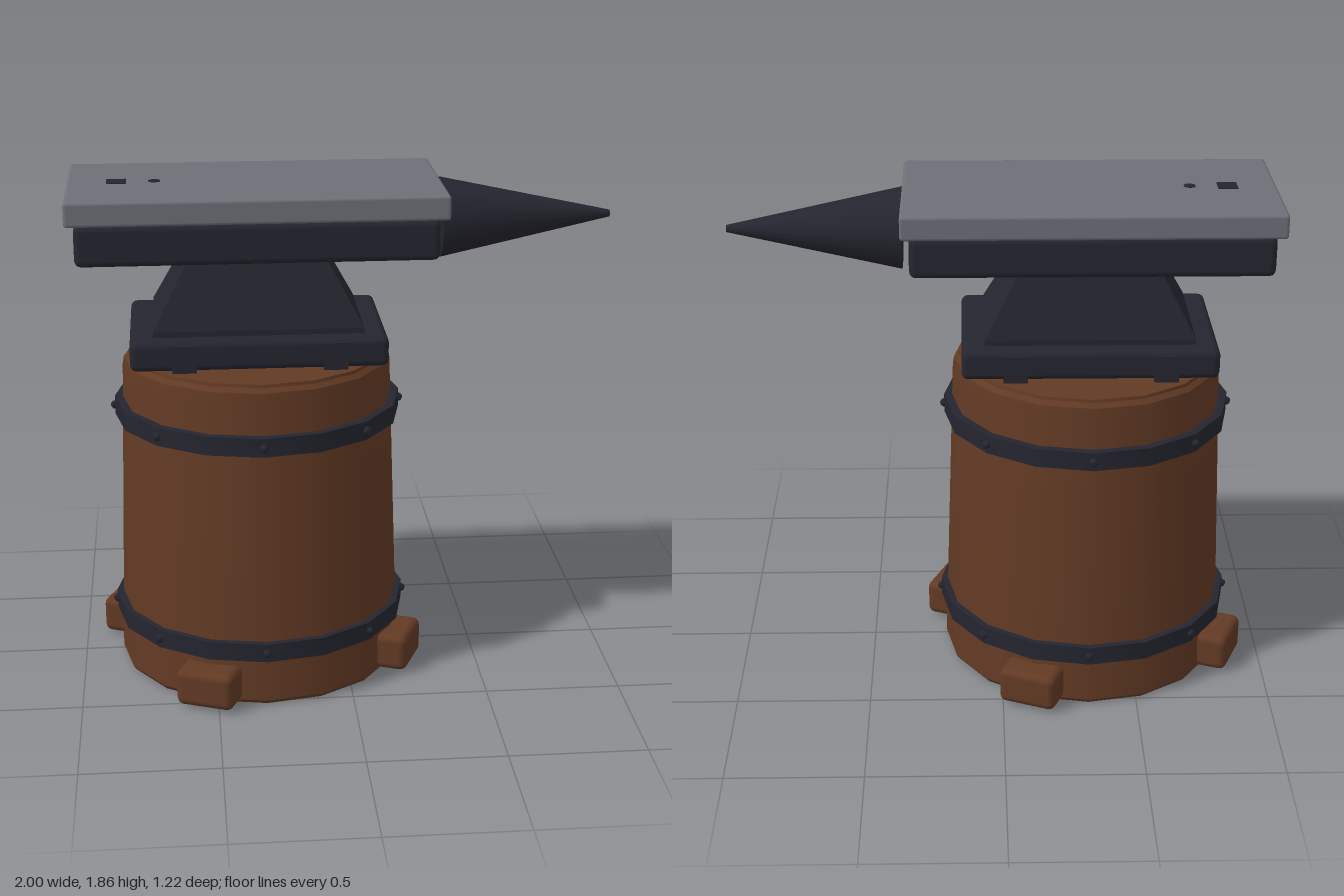
import * as THREE from 'three';
import { RoundedBoxGeometry } from 'three/addons/geometries/RoundedBoxGeometry.js';
import { toCreasedNormals } from 'three/addons/utils/BufferGeometryUtils.js';

const SIDES = 16;
const CX = -0.32; // axis of the stump and anvil foot

export function createModel() {
  const material = (name, color) => {
    const m = new THREE.MeshStandardMaterial({ color });
    m.name = name;
    return m;
  };
  const wood = material('wood', 0x623a24);
  const iron = material('dark iron', 0x252530);
  const steel = material('face steel', 0x6d7078);

  const model = new THREE.Group();
  model.name = 'anvilOnStump';
  const add = (name, geometry, mat, x, y, z, parent = model) => {
    const mesh = new THREE.Mesh(geometry, mat);
    mesh.name = name;
    mesh.position.set(x, y, z);
    parent.add(mesh);
    return mesh;
  };
  const box = (w, h, d, r) => new RoundedBoxGeometry(w, h, d, 2, r);
  const lathe = (points) => toCreasedNormals(
    new THREE.LatheGeometry(points.map(([r, y]) => new THREE.Vector2(r, y)), SIDES), 0.6);

  // Stump: tapered body with softened rim, and a thin disc on top
  const stump = new THREE.Group();
  stump.name = 'stump';
  stump.position.x = CX;
  model.add(stump);
  add('stumpBody', lathe([[0, 0], [0.525, 0], [0.536, 0.015], [0.501, 1.165],
    [0.496, 1.195], [0.48, 1.211], [0, 1.211]]), wood, 0, 0, 0, stump);
  add('stumpTop', new THREE.CylinderGeometry(0.478, 0.482, 0.02, SIDES), wood, 0, 1.212, 0, stump);

  // Iron hoops, each with eight rivets
  for (const [name, y, r] of [['lowerHoop', 0.215, 0.553], ['upperHoop', 1.005, 0.535]]) {
    add(name, lathe([[r - 0.05, -0.035], [r, -0.035], [r, 0.035], [r - 0.05, 0.035],
      [r - 0.05, -0.035]]), iron, 0, y, 0, stump);
    for (let i = 0; i < 8; i++) {
      const a = (i * Math.PI) / 4;
      add('rivet', new THREE.SphereGeometry(0.016, 8, 6), iron,
        Math.sin(a) * r, y, Math.cos(a) * r, stump);
    }
  }

  // Four wooden feet around the bottom
  for (let i = 0; i < 4; i++) {
    const a = -Math.PI / 8 + (i * Math.PI) / 2;
    const foot = add('foot', box(0.22, 0.14, 0.14, 0.028), wood,
      Math.sin(a) * 0.552, 0.08, Math.cos(a) * 0.552, stump);
    foot.rotation.y = a;
  }

  // Anvil base and its hold-down straps
  add('anvilBase', box(0.935, 0.112, 0.6, 0.025), iron, CX, 1.276, 0);
  for (const sx of [-1, 1]) {
    for (const sz of [-1, 1]) {
      add('strap', new THREE.BoxGeometry(0.088, 0.105, 0.016), iron,
        CX + sx * 0.272, 1.27, sz * 0.317);
    }
  }

  // Waist: box whose upper levels narrow towards the body
  const waist = new THREE.BoxGeometry(2, 1, 2, 1, 2, 1);
  const levels = [[0.382, 1.32, 0.238], [0.382, 1.352, 0.238], [0.238, 1.62, 0.147]];
  const p = waist.attributes.position;
  for (let i = 0; i < p.count; i++) {
    const [hx, y, hz] = levels[Math.round((p.getY(i) + 0.5) * 2)];
    p.setXYZ(i, p.getX(i) * hx, y, p.getZ(i) * hz);
  }
  add('waist', toCreasedNormals(waist, 0.1), iron, CX, 0, 0);

  // Body, steel face and horn
  add('anvilBody', box(1.3, 0.152, 0.6, 0.025), iron, CX, 1.686, 0);
  add('anvilFace', box(1.36, 0.09, 0.676, 0.012), steel, CX, 1.81, 0);
  const horn = add('horn', new THREE.CylinderGeometry(0.013, 0.15, 0.64, SIDES), iron, 0.68, 1.703, 0);
  horn.rotation.z = -Math.PI / 2;

  // Square and round tool holes in the face
  add('squareHole', new THREE.BoxGeometry(0.072, 0.006, 0.072), iron, -0.82, 1.855, 0);
  add('roundHole', new THREE.CylinderGeometry(0.022, 0.022, 0.006, 12), iron, -0.683, 1.855, 0);

  return model;
}
